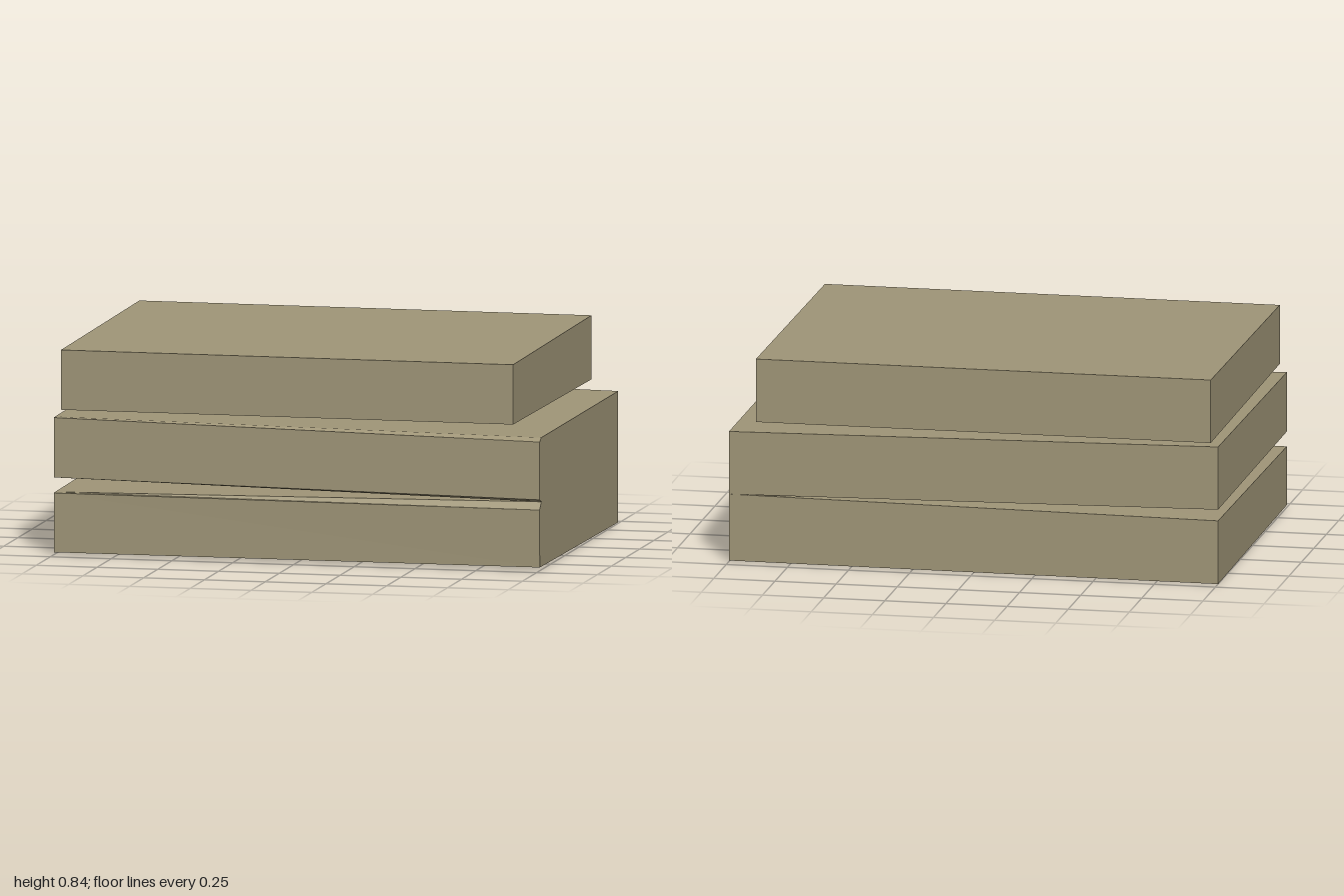
import * as THREE from 'three';

// Loft a slab between two end sections; each section is a list of [z, y]
// running along the underside front to back, then along the top back to front.
function slab(xLeft, xRight, sectionLeft, sectionRight) {
  const a = sectionLeft.map(([z, y]) => [xLeft, y, z]);
  const b = sectionRight.map(([z, y]) => [xRight, y, z]);
  const n = a.length;
  const pos = [];
  const tri = (...pts) => pts.forEach((p) => pos.push(...p));
  for (let i = 0; i < n; i++) {
    const j = (i + 1) % n;
    tri(a[i], a[j], b[j]);
    tri(a[i], b[j], b[i]);
  }
  for (let i = 1; i < n - 1; i++) {
    tri(b[0], b[i], b[i + 1]);
    tri(a[0], a[i + 1], a[i]);
  }
  const geometry = new THREE.BufferGeometry();
  geometry.setAttribute('position', new THREE.Float32BufferAttribute(pos, 3));
  geometry.computeVertexNormals();
  return geometry;
}

export function createModel() {
  const group = new THREE.Group();
  const stone = new THREE.MeshStandardMaterial({ color: 0xa09678 });
  stone.name = 'khakiStone';
  const add = (name, geometry) => {
    const mesh = new THREE.Mesh(geometry, stone);
    mesh.name = name;
    group.add(mesh);
  };
  const back = -0.695;

  // Bottom slab: front top edge is worn, more so towards +x
  add('bottomSlab', slab(-1, 1,
    [[0.69, 0.01], [0.665, 0.01], [back, 0], [back, 0.26], [0.665, 0.251], [0.69, 0.25]],
    [[0.692, 0.013], [0.665, 0.013], [back, 0.004], [back, 0.277], [0.665, 0.275], [0.697, 0.246]]));

  // Middle slab: leans down and meets the bottom slab at the +x end
  add('middleSlab', slab(-1, 1,
    [[0.69, 0.313], [0.665, 0.312], [back, 0.306], [back, 0.564], [0.665, 0.556], [0.69, 0.555]],
    [[0.695, 0.287], [0.665, 0.275], [back, 0.277], [back, 0.535], [0.665, 0.535], [0.695, 0.521]]));

  // Top slab: narrower and hovering just above the middle one
  const topSection = [[0.692, 0.588], [back, 0.579], [back, 0.838], [0.692, 0.83]];
  add('topSlab', slab(-0.97, 0.89, topSection, topSection));

  return group;
}
